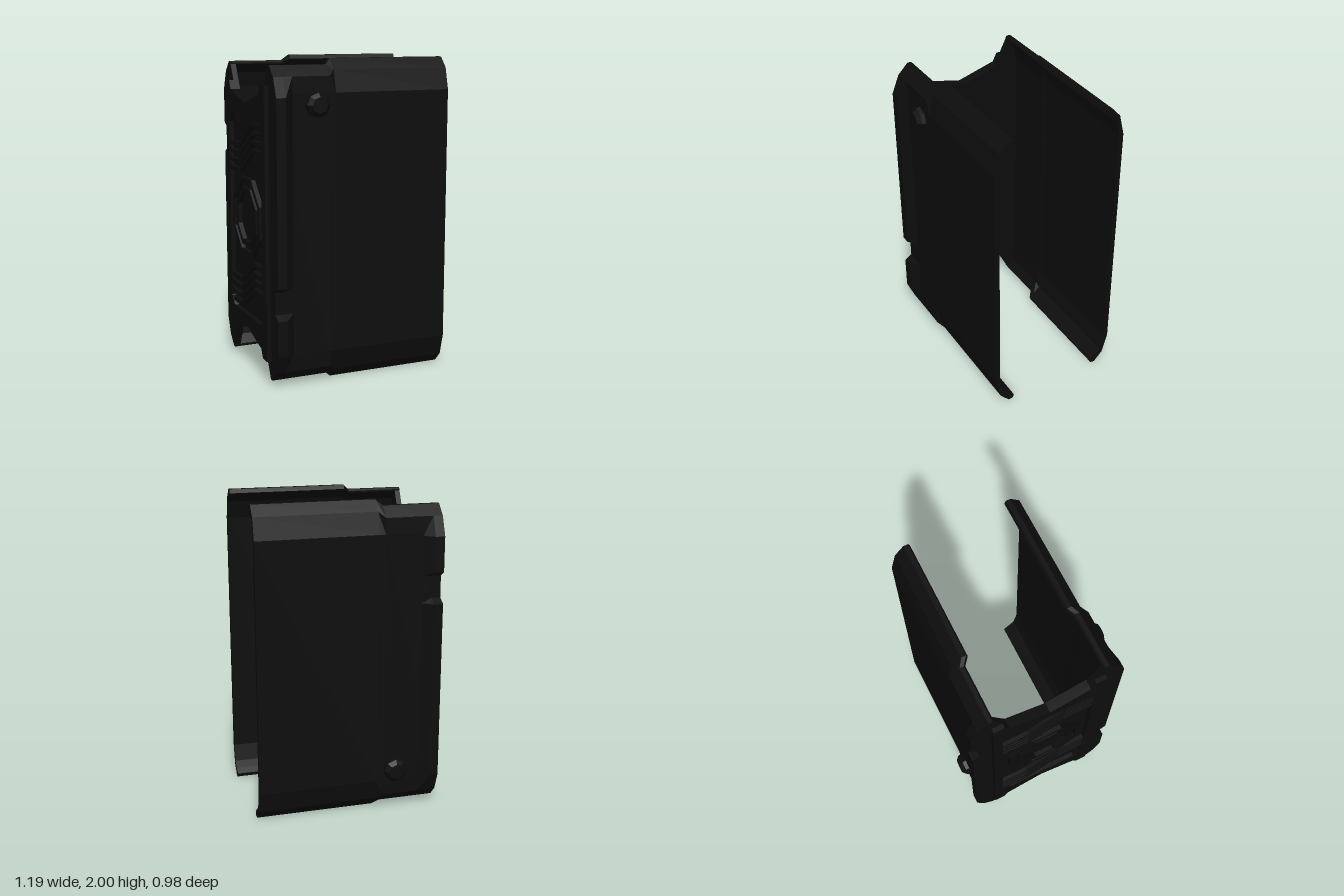
import * as THREE from 'three';

const black = new THREE.MeshStandardMaterial({ color: 0x0d0d0d });
black.name = 'matte black';

// Joins closed sections [u, v] placed at heights ws, with end caps; map(u, v, w) gives x, y, z
function loft(sections, ws, map) {
  const pos = [];
  const loops = sections.map(s => s.map(p => new THREE.Vector2(p[0], p[1])));
  if (THREE.ShapeUtils.area(loops[0]) < 0) loops.forEach(l => l.reverse());
  const put = (i, j) => pos.push(...map(loops[i][j].x, loops[i][j].y, ws[i]));
  const n = loops[0].length, last = loops.length - 1;
  for (let i = 0; i < last; i++) {
    for (let j = 0; j < n; j++) {
      const k = (j + 1) % n;
      put(i, j); put(i, k); put(i + 1, k);
      put(i, j); put(i + 1, k); put(i + 1, j);
    }
  }
  for (const [a, b, c] of THREE.ShapeUtils.triangulateShape(loops[0], [])) {
    put(0, a); put(0, c); put(0, b);
  }
  for (const [a, b, c] of THREE.ShapeUtils.triangulateShape(loops[last], [])) {
    put(last, a); put(last, b); put(last, c);
  }
  const g = new THREE.BufferGeometry();
  g.setAttribute('position', new THREE.Float32BufferAttribute(pos, 3));
  g.computeVertexNormals();
  return g;
}

function part(name, geometry, parent) {
  const m = new THREE.Mesh(geometry, black);
  m.name = name;
  parent.add(m);
  return m;
}

const points = list => list.map(p => new THREE.Vector2(p[0], p[1]));

// Extrudes a (z, y) outline from x = from back to x = to
function backPlate(outline, from, to, hole) {
  const s = new THREE.Shape(points(outline));
  if (hole) s.holes.push(new THREE.Path(points(hole)));
  const g = new THREE.ExtrudeGeometry(s, { depth: from - to, bevelEnabled: false });
  return g.rotateY(-Math.PI / 2).translate(from, 0, 0);
}

// Repeats the upper right quarter of an outline, running from the middle outwards
function fourWay(q) {
  const r = [...q].reverse();
  const right = [...r.map(([z, y]) => [z, -y]).reverse(), ...r];
  const ring = [...right, ...right.map(([z, y]) => [-z, -y])];
  return ring.filter((p, i) => {
    const o = ring[(i + 1) % ring.length];
    return Math.hypot(p[0] - o[0], p[1] - o[1]) > 1e-6;
  });
}

function octagon(r) {
  return Array.from({ length: 8 }, (_, i) => {
    const a = (i + 0.5) * Math.PI / 4;
    return [r * Math.cos(a), r * Math.sin(a)];
  });
}

function makeSide() {
  const side = new THREE.Group();
  side.name = 'sideShell';

  // Side plate: a low stepped part by the back wall, then a taller hooked lip
  const whole = half => [
    ...half.map(([z, y]) => [y, z]),
    ...[...half].reverse().map(([z, y]) => [-y, z]),
  ];
  const low = whole([[0.44, 0.8], [0.44, 0.9], [0.375, 0.965], [0.35, 0.965],
    [0.34, 0.955], [0.34, 0.945], [0.385, 0.89], [0.4, 0.8]]);
  const tall = whole([[0.44, 0.8], [0.405, 0.935], [0.345, 1], [0.315, 1],
    [0.305, 0.975], [0.34, 0.945], [0.385, 0.91], [0.41, 0.8]]);
  part('sidePlate', loft([low, low, tall, tall], [-0.57, -0.21, -0.17, 0.596],
    (y, z, x) => [x, y, z]), side);

  // Thick corner rim with one notch and tapered ends
  const steps = [[-0.9, 0.441], [-0.78, 0.49], [-0.56, 0.49], [-0.53, 0.441],
    [-0.39, 0.441], [-0.36, 0.49], [0.78, 0.49], [0.9, 0.441]];
  part('cornerRim', loft(
    steps.map(([, d]) => [[0.405, -0.57], [d, -0.57], [d, -0.51], [0.44, -0.45], [0.405, -0.45]]),
    steps.map(s => s[0]), (z, x, y) => [x, y, z]), side);

  // Faceted bolt head
  const bolt = new THREE.LatheGeometry(
    points([[0.078, 0], [0.075, 0.025], [0.05, 0.05], [0, 0.05]]), 8).toNonIndexed();
  bolt.computeVertexNormals();
  bolt.rotateX(Math.PI / 2).translate(-0.292, 0.73, 0.44);
  part('boltHead', bolt, side);
  return side;
}

export function createModel() {
  const model = new THREE.Group();
  model.name = 'shell';
  const body = new THREE.Group();
  body.name = 'body';
  body.position.y = 1;
  model.add(body);

  // Two sides, the second turned half way round the x axis
  body.add(makeSide());
  const rear = makeSide();
  rear.name = 'rearSideShell';
  rear.rotation.x = Math.PI;
  body.add(rear);

  // Back wall with V-shaped ends
  part('backWall', backPlate(
    fourWay([[0, 0.72], [0.26, 0.79], [0.34, 0.945], [0.385, 0.935], [0.42, 0.9]]),
    -0.535, -0.57), body);

  // Raised frame round the ribbed window
  part('backFrame', backPlate(
    fourWay([[0, 0.72], [0.26, 0.79], [0.288, 0.845], [0.36, 0.845]]), -0.57, -0.599,
    fourWay([[0, 0.64], [0.25, 0.64], [0.3, 0.58]])), body);

  // Concentric octagon rings
  for (const r of [0.27, 0.2]) {
    part('octagonRing', backPlate(octagon(r), -0.57, -0.598, octagon(r - 0.035)), body);
  }

  // Stepped ribs above and below the rings
  for (const turn of [1, -1]) {
    for (let i = 0; i < 4; i++) {
      const y = 0.27 + i * 0.055, t = 0.026;
      const rib = [[-0.3, y], [-0.12, y], [0.12, y + 0.15], [0.3, y + 0.15],
        [0.3, y + 0.15 + t], [0.11, y + 0.15 + t], [-0.13, y + t], [-0.3, y + t]];
      part('backRib', backPlate(rib.map(([z, h]) => [z * turn, h * turn]), -0.57, -0.596), body);
    }
  }
  return model;
}
